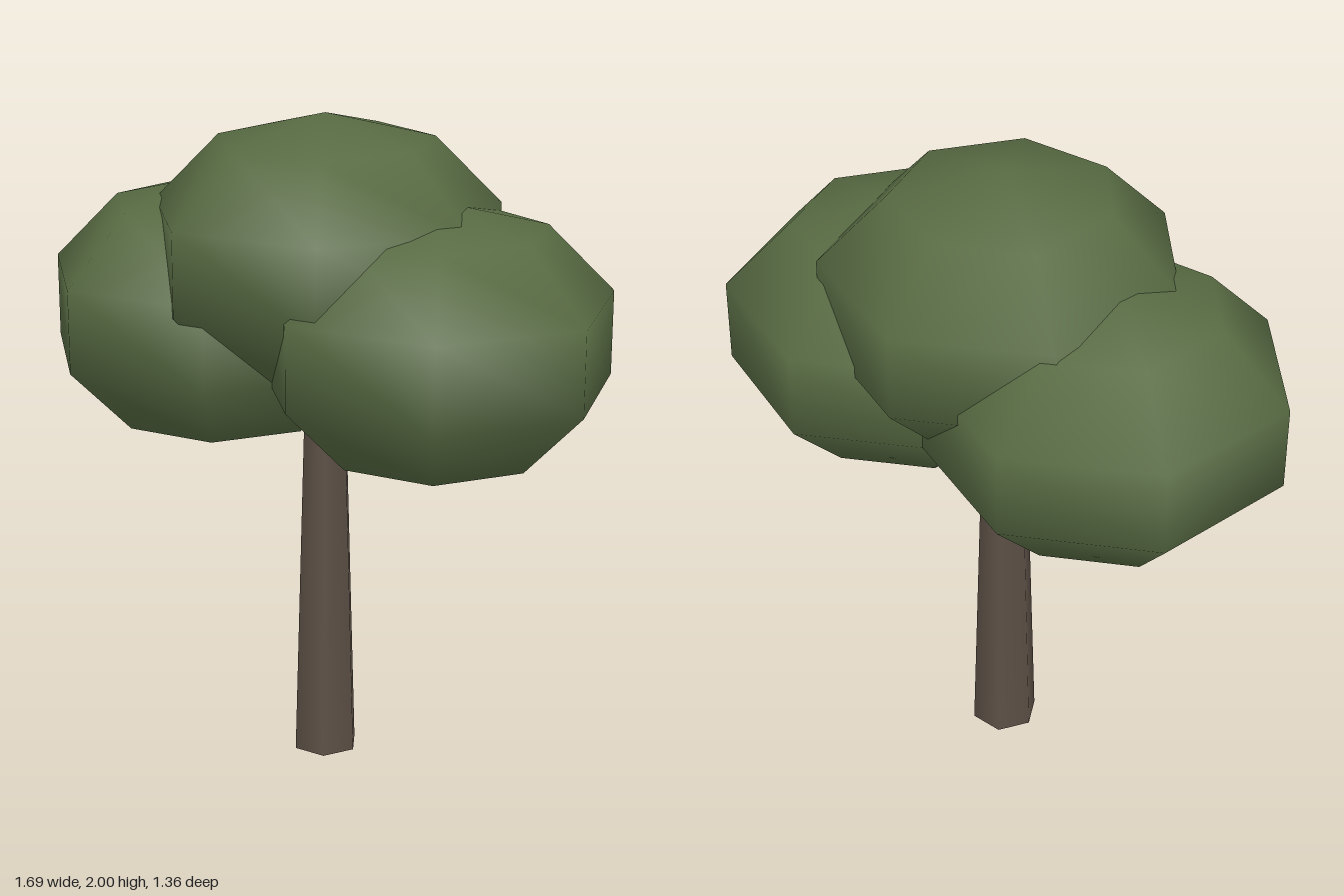
import * as THREE from 'three';

export function createModel() {
  const tree = new THREE.Group();
  tree.name = 'tree';

  const bark = new THREE.MeshStandardMaterial({ color: 0x5c5046 });
  bark.name = 'bark brown';
  const leaf = new THREE.MeshStandardMaterial({ color: 0x586b43 });
  leaf.name = 'leaf green';

  // Tapered six-sided trunk, its top hidden inside the crown
  const height = 1.3;
  const trunk = new THREE.Mesh(new THREE.CylinderGeometry(0.064, 0.104, height, 6), bark);
  trunk.name = 'trunk';
  trunk.position.set(0, height / 2, -0.026);
  tree.add(trunk);

  // Crown of three equal, flattened seven-sided blobs, one corner facing +z
  const blob = new THREE.SphereGeometry(0.557, 7, 5);
  blob.rotateY(Math.PI / 2);
  blob.scale(1, 0.41 / 0.557, 1);
  const addBlob = (name, x, y, z) => {
    const mesh = new THREE.Mesh(blob, leaf);
    mesh.name = name;
    mesh.position.set(x, y, z);
    tree.add(mesh);
  };
  addBlob('topFoliage', 0, 1.59, -0.028);
  addBlob('leftFoliage', 0.33, 1.37, 0.148);
  addBlob('rightFoliage', -0.33, 1.37, -0.204);

  return tree;
}
